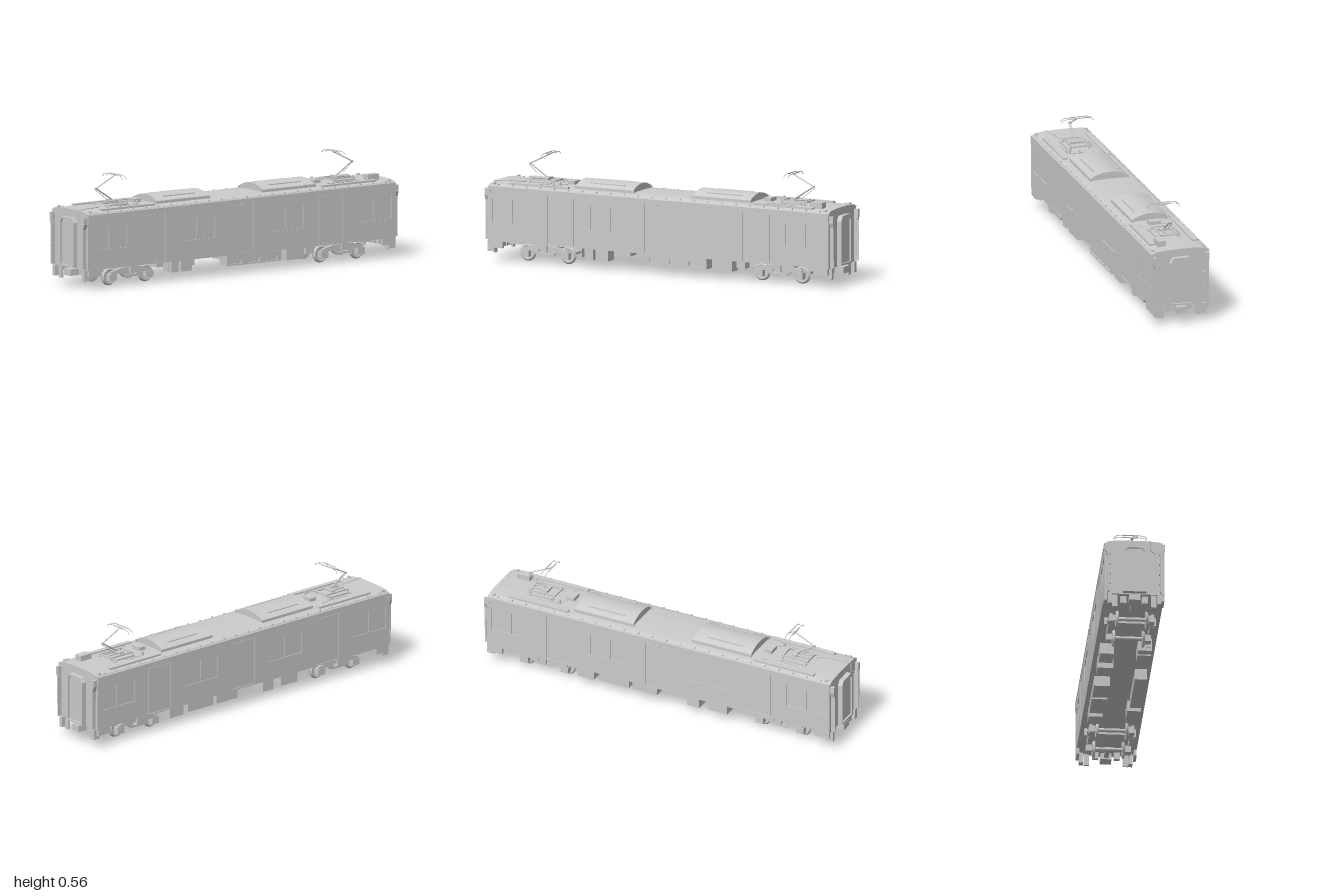
import * as THREE from 'three';

const grey = new THREE.MeshStandardMaterial({ color: 0xcccccc, side: THREE.DoubleSide });
const V = (x, y, z) => new THREE.Vector3(x, y, z);

function add(parent, name, geo, x = 0, y = 0, z = 0) {
  const m = new THREE.Mesh(geo, grey);
  m.name = name;
  m.position.set(x, y, z);
  parent.add(m);
  return m;
}
// box given by its limits
const box = (p, name, x0, x1, y0, y1, z0, z1) =>
  add(p, name, new THREE.BoxGeometry(x1 - x0, y1 - y0, z1 - z0), (x0 + x1) / 2, (y0 + y1) / 2, (z0 + z1) / 2);
// straight round bar between two points
function bar(p, name, a, b, r, sides = 8) {
  const d = b.clone().sub(a);
  const m = add(p, name, new THREE.CylinderGeometry(r, r, d.length(), sides));
  m.position.copy(a).add(b).multiplyScalar(0.5);
  m.quaternion.setFromUnitVectors(V(0, 1, 0), d.normalize());
  return m;
}
// bent pipe with sharp corners
function pipe(p, name, pts, r) {
  const path = new THREE.CurvePath();
  for (let i = 1; i < pts.length; i++) path.add(new THREE.LineCurve3(pts[i - 1], pts[i]));
  return add(p, name, new THREE.TubeGeometry(path, 40, r, 6));
}
const poly = pts => new THREE.Shape(pts.map(a => new THREE.Vector2(...a)));
const extrude = (shape, depth, curveSegments = 16) =>
  new THREE.ExtrudeGeometry(shape, { depth, bevelEnabled: false, curveSegments });
const rectPath = (a0, a1, y0, y1) => new THREE.Path([[a0, y0], [a1, y0], [a1, y1], [a0, y1]].map(a => new THREE.Vector2(...a)));
function roundRect(w, h, r, P = THREE.Path, cx = 0, cy = 0) {
  const s = new P(), a = w / 2 - r, b = h / 2 - r;
  s.absarc(cx + a, cy + b, r, 0, Math.PI / 2);
  s.absarc(cx - a, cy + b, r, Math.PI / 2, Math.PI);
  s.absarc(cx - a, cy - b, r, Math.PI, Math.PI * 1.5);
  s.absarc(cx + a, cy - b, r, Math.PI * 1.5, Math.PI * 2);
  s.closePath();
  return s;
}

function buildBody(g) {
  // body core with cambered roof
  const half = [[0.149, 0.1], [0.149, 0.378], [0.143, 0.389], [0.128, 0.394], [0.1, 0.397], [0.05, 0.4]];
  const shape = poly([...half, ...half.slice().reverse().map(([x, y]) => [-x, y])]);
  add(g, 'bodyShell', extrude(shape, 1.95), 0, 0, -0.975);

  // outer side skins with window and door openings
  const skin = poly([[-0.975, 0.1], [0.975, 0.1], [0.975, 0.378], [-0.975, 0.378]]);
  for (const z of [-0.84, -0.28, 0.28, 0.84])
    for (const s of [-1, 1]) skin.holes.push(rectPath(z + s * 0.057 - 0.053, z + s * 0.057 + 0.053, 0.2, 0.32));
  for (const z of [-0.56, 0, 0.56]) skin.holes.push(rectPath(z - 0.077, z + 0.077, 0.108, 0.355));
  for (const s of [-1, 1]) {
    add(g, 'sideSkin', extrude(skin, 0.004), s > 0 ? 0.149 : -0.153).rotation.y = Math.PI / 2;
    for (const z of [-0.56, 0, 0.56])
      box(g, 'doorLeaf', s * 0.15 - 0.0015, s * 0.15 + 0.0015, 0.11, 0.353, z - 0.075, z + 0.075);
    box(g, 'gutter', s * 0.15 - 0.005, s * 0.15 + 0.005, 0.376, 0.383, -0.975, 0.975);
    box(g, 'sideLamp', s * 0.154 - 0.003, s * 0.154 + 0.003, 0.35, 0.362, -0.005, 0.005);
    for (let i = 0; i < 24; i++) {
      const z = -0.92 + i * 0.08;
      box(g, 'roofEdgeStud', s * 0.141 - 0.004, s * 0.141 + 0.004, 0.388, 0.395, z - 0.003, z + 0.003);
    }
    for (const e of [-1, 1]) box(g, 'roofWalkway', s * 0.115 - 0.013, s * 0.115 + 0.013, 0.394, 0.404, e * 0.7 - 0.17, e * 0.7 + 0.17);
  }
}

function buildEnd(g) {
  // gangway with cut upper corners
  const gang = poly([[-0.06, 0.105], [0.06, 0.105], [0.06, 0.335], [0.042, 0.36], [-0.042, 0.36], [-0.06, 0.335]]);
  gang.holes.push(new THREE.Path([[-0.05, 0.115], [0.05, 0.115], [0.05, 0.332], [0.037, 0.35], [-0.037, 0.35], [-0.05, 0.332]].map(a => new THREE.Vector2(...a))));
  add(g, 'gangwayFrame', extrude(gang, 0.025), 0, 0, 0.975);
  box(g, 'gangwayDoor', -0.05, 0.05, 0.112, 0.35, 0.975, 0.99);
  box(g, 'couplerPocket', -0.028, 0.028, 0.06, 0.094, 0.93, 0.995);
  box(g, 'couplerShank', -0.012, 0.012, 0.068, 0.086, 0.84, 0.94);
  const guard = [[0.13, 0.105], [0.137, 0.105], [0.139, 0.31], [0.148, 0.335], [0.148, 0.37], [0.132, 0.37], [0.13, 0.31]];
  for (const s of [-1, 1]) {
    add(g, 'cornerGuard', extrude(poly(guard.map(([x, y]) => [s * x, y])), 0.022), 0, 0, 0.975);
    for (const y of [0.155, 0.21, 0.265, 0.32]) box(g, 'guardBracket', s * 0.13 - 0.006, s * 0.13 + 0.006, y - 0.002, y + 0.002, 0.975, 0.99);
    bar(g, 'handrail', V(s * 0.147, 0.145, 0.982), V(s * 0.147, 0.25, 0.982), 0.0015, 6);
    box(g, 'tailLamp', s * 0.152 - 0.004, s * 0.152 + 0.004, 0.349, 0.365, 0.96, 0.975);
    box(g, 'cornerSkirt', s * 0.146 - 0.007, s * 0.146 + 0.007, 0.067, 0.1, 0.89, 0.97);
    box(g, 'jumperBlock', s * 0.126 - 0.01, s * 0.126 + 0.01, 0.045, 0.1, 0.945, 0.985);
    box(g, 'stepPlate', s * 0.1 - 0.014, s * 0.1 + 0.014, 0.035, 0.1, 0.955, 0.965);
    box(g, 'endHanger', s * 0.055 - 0.015, s * 0.055 + 0.015, 0.062, 0.1, 0.93, 0.95);
    box(g, 'roofLug', s * 0.133 - 0.007, s * 0.133 + 0.007, 0.39, 0.4, 0.94, 0.955);
  }
}

function buildBogie(g) {
  const wheelProfile = [[0, -0.006], [0.045, -0.006], [0.045, -0.002], [0.041, 0], [0.04, 0.007], [0.033, 0.007], [0.03, 0.003], [0.014, 0.003], [0.012, 0.008], [0, 0.008]]
    .map(a => new THREE.Vector2(...a));
  for (const dz of [-0.115, 0.115]) {
    bar(g, 'axle', V(-0.075, 0.047, dz), V(0.075, 0.047, dz), 0.01, 16);
    for (const s of [-1, 1]) {
      const w = add(g, 'wheel', new THREE.LatheGeometry(wheelProfile, 32), s * 0.075, 0.045, dz);
      w.rotation.z = -s * Math.PI / 2;
      box(g, 'axleBox', s * 0.1 - 0.015, s * 0.1 + 0.015, 0.027, 0.062, dz - 0.022, dz + 0.022);
    }
  }
  // side frames with oval opening
  const side = poly([[-0.13, 0.06], [-0.07, 0.06], [-0.045, 0.04], [0.045, 0.04], [0.07, 0.06], [0.13, 0.06], [0.13, 0.072], [0.06, 0.09], [-0.06, 0.09], [-0.13, 0.072]]);
  side.holes.push(roundRect(0.07, 0.024, 0.011, THREE.Path, 0, 0.064));
  for (const s of [-1, 1]) {
    add(g, 'sideFrame', extrude(side, 0.014, 6), s * 0.106 - 0.007).rotation.y = Math.PI / 2;
    add(g, 'airSpring', new THREE.CylinderGeometry(0.028, 0.028, 0.018, 20), s * 0.09, 0.094, 0);
    box(g, 'damper', s * 0.126 - 0.006, s * 0.126 + 0.006, 0.06, 0.1, -0.02, 0.02);
  }
  box(g, 'bolster', -0.1, 0.1, 0.062, 0.086, -0.035, 0.035);
}

function buildPantograph(g) {
  // base frame on insulators, local z runs towards the car end
  for (const s of [-1, 1]) {
    box(g, 'baseRail', s * 0.04 - 0.003, s * 0.04 + 0.003, 0.412, 0.419, -0.05, 0.1);
    box(g, 'sideLink', s * 0.065 - 0.003, s * 0.065 + 0.003, 0.403, 0.411, -0.04, 0.08);
    for (const z of [-0.04, 0.09]) {
      add(g, 'insulator', new THREE.CylinderGeometry(0.005, 0.008, 0.016, 10), s * 0.05, 0.406, z);
      box(g, 'insulatorFoot', s * 0.057 - 0.014, s * 0.057 + 0.014, 0.398, 0.402, z - 0.008, z + 0.008);
    }
    bar(g, 'spring', V(s * 0.015, 0.42, 0.02), V(s * 0.015, 0.42, 0.09), 0.004);
    bar(g, 'headStay', V(0, 0.546, 0.006), V(s * 0.03, 0.553, s * 0.012), 0.0015, 6);
  }
  for (const z of [-0.045, 0.015, 0.095]) box(g, 'crossMember', -0.045, 0.045, 0.411, 0.418, z - 0.005, z + 0.005);
  box(g, 'pivotHousing', -0.03, 0.03, 0.415, 0.426, 0.0, 0.025);
  bar(g, 'lowerArm', V(0, 0.425, 0.015), V(0, 0.49, 0.115), 0.004);
  bar(g, 'controlRod', V(0.006, 0.42, 0.04), V(0.004, 0.484, 0.122), 0.0015, 6);
  bar(g, 'knee', V(-0.007, 0.489, 0.115), V(0.007, 0.489, 0.115), 0.006, 10);
  bar(g, 'upperArm', V(0, 0.49, 0.118), V(0, 0.55, -0.005), 0.003);
  const bow = new THREE.CatmullRomCurve3([[-0.085, 0.537], [-0.078, 0.547], [-0.06, 0.553], [0, 0.554], [0.06, 0.553], [0.078, 0.547], [0.085, 0.537]].map(([x, y]) => V(x, y, 0)));
  for (const z of [-0.012, 0.012]) {
    add(g, 'collectorBow', new THREE.TubeGeometry(bow, 32, 0.0018, 6), 0, 0, z);
    box(g, 'contactStrip', -0.04, 0.04, 0.552, 0.556, z - 0.003, z + 0.003);
  }
  // roof gear around the pantograph
  box(g, 'arresterBox', -0.035, 0.025, 0.402, 0.42, -0.15, -0.11);
  add(g, 'arrester', new THREE.CylinderGeometry(0.006, 0.008, 0.022, 10), 0.07, 0.409, -0.09);
  pipe(g, 'roofCable', [V(-0.08, 0.402, 0.06), V(-0.08, 0.402, -0.1), V(-0.11, 0.402, -0.14)], 0.002);
  pipe(g, 'roofCable', [V(0.08, 0.402, 0.03), V(0.08, 0.402, -0.08), V(0.03, 0.406, -0.12)], 0.002);
}

function buildCooler(g) {
  // arched air-conditioner casing with a plinth
  const arch = new THREE.Shape();
  arch.moveTo(-0.1, 0.396);
  arch.lineTo(0.1, 0.396);
  arch.lineTo(0.1, 0.41);
  arch.quadraticCurveTo(0, 0.463, -0.1, 0.41);
  arch.closePath();
  add(g, 'coolerCasing', extrude(arch, 0.33, 20), 0, 0, -0.165);
  for (const s of [-1, 1]) {
    box(g, 'coolerPlinth', s * 0.1 - 0.004, s * 0.1 + 0.004, 0.394, 0.411, -0.17, 0.17);
    box(g, 'coolerSlot', s * 0.065 - 0.004, s * 0.065 + 0.004, 0.42, 0.4285, -0.1, 0.1);
  }
}

function buildUnderfloor(g) {
  // equipment cases: x0, x1, bottom, z0, z1
  const cases = [[0.06, 0.13, 0.04, 0.3, 0.37], [0.06, 0.13, 0.04, 0.385, 0.43], [0.1, 0.13, 0.05, 0.448, 0.452],
    [0.06, 0.13, 0.04, -0.41, -0.3], [0.07, 0.12, 0.06, -0.48, -0.43],
    [-0.13, -0.05, 0.035, 0.15, 0.22], [-0.13, -0.06, 0.04, 0.27, 0.38], [-0.13, -0.05, 0.045, -0.16, -0.02],
    [-0.13, -0.05, 0.045, -0.35, -0.18], [-0.13, -0.06, 0.04, -0.47, -0.38]];
  for (const [x0, x1, y, z0, z1] of cases) box(g, 'equipmentCase', x0, x1, y, 0.101, z0, z1);
  // long resistor case with three rounded openings
  box(g, 'resistorCase', 0.07, 0.124, 0.042, 0.101, -0.265, 0.08);
  const face = poly([[-0.08, 0.042], [0.265, 0.042], [0.265, 0.1], [-0.08, 0.1]]);
  for (const z of [-0.022, 0.09, 0.202]) face.holes.push(roundRect(0.078, 0.03, 0.008, THREE.Path, z, 0.065));
  add(g, 'resistorFace', extrude(face, 0.008, 6), 0.124).rotation.y = Math.PI / 2;
}

export function createModel() {
  const root = new THREE.Group();
  root.name = 'railCar';
  const group = (name, build, z = 0, turn = 0) => {
    const g = new THREE.Group();
    g.name = name;
    g.position.z = z;
    g.rotation.y = turn;
    build(g);
    root.add(g);
  };
  group('body', buildBody);
  group('underfloor', buildUnderfloor);
  for (const [side, s, turn] of [['front', 1, 0], ['rear', -1, Math.PI]]) {
    group(side + 'End', buildEnd, 0, turn);
    group(side + 'Bogie', buildBogie, s * 0.67, turn);
    group(side + 'Pantograph', buildPantograph, s * 0.695, turn);
    group(side + 'Cooler', buildCooler, s * 0.335, turn);
  }
  // pipe from the front pantograph down the end wall, and the rear roof case
  pipe(root, 'downPipe', [V(0.03, 0.404, 0.81), V(0.06, 0.404, 0.84), V(0.06, 0.404, 0.9), V(0.078, 0.402, 0.98), V(0.078, 0.345, 0.98), V(0.113, 0.325, 0.98), V(0.113, 0.105, 0.98)], 0.0025);
  box(root, 'rearRoofCase', 0.055, 0.098, 0.396, 0.428, -0.91, -0.84);
  return root;
}
